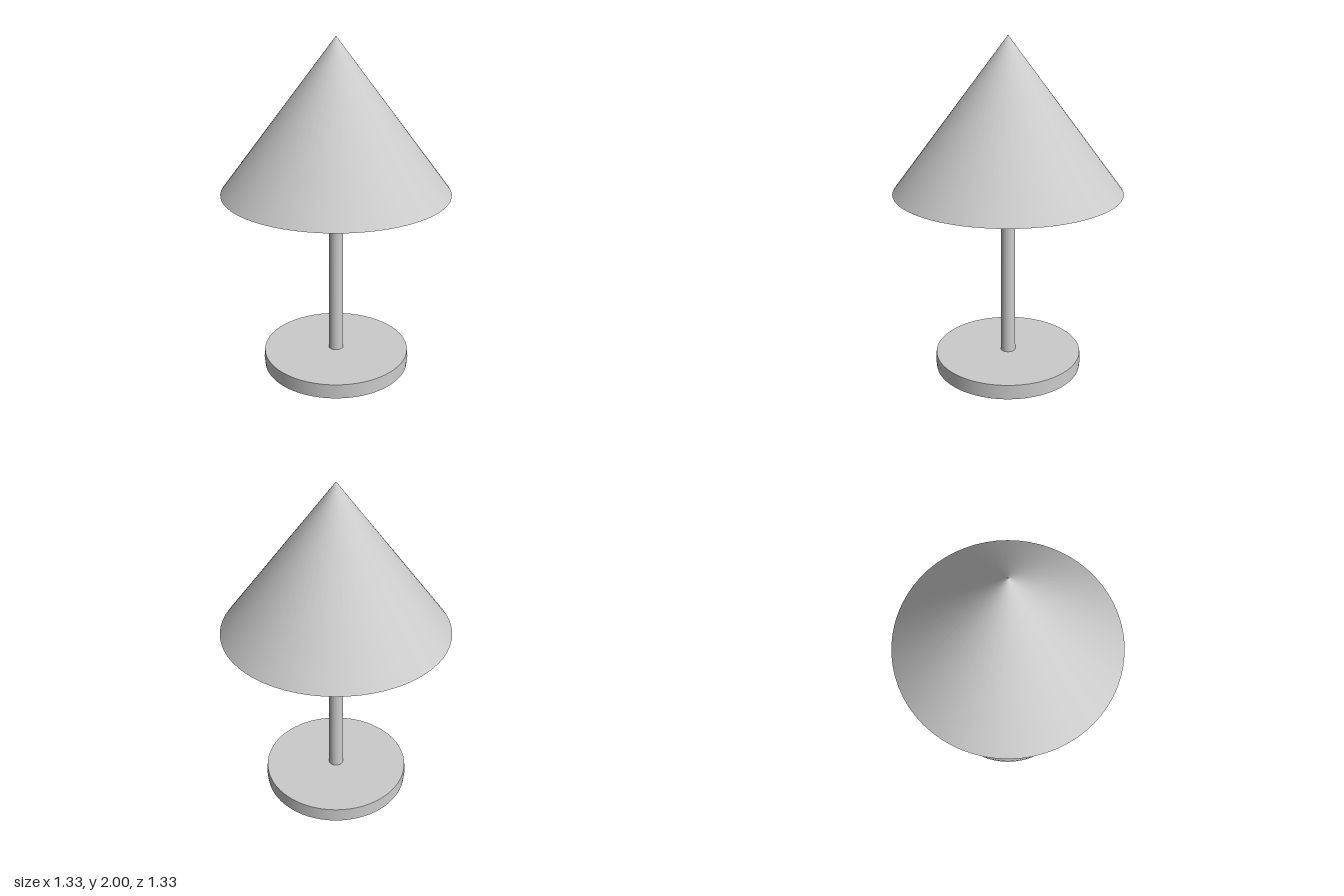
import * as THREE from 'three';

const SIDES = 64;

export function createModel() {
  const model = new THREE.Group();
  const material = new THREE.MeshStandardMaterial({ color: 0xcccccc });

  // Round part standing between two heights
  function addRound(name, topRadius, bottomRadius, bottom, top, rings = 1) {
    const geometry = new THREE.CylinderGeometry(topRadius, bottomRadius, top - bottom, SIDES, rings);
    const mesh = new THREE.Mesh(geometry, material);
    mesh.name = name;
    mesh.position.y = (bottom + top) / 2;
    model.add(mesh);
    return mesh;
  }

  // Disc foot with a very slightly bulging rim
  const base = addRound('base', 0.44, 0.44, 0, 0.09, 2);
  const p = base.geometry.attributes.position;
  for (let i = 0; i < p.count; i++) {
    if (Math.abs(p.getY(i)) < 0.001) {
      p.setX(i, p.getX(i) * 1.01);
      p.setZ(i, p.getZ(i) * 1.01);
    }
  }

  // Gently tapered post
  addRound('stem', 0.04, 0.045, 0.09, 1.115);

  // Closed conical shade
  addRound('shade', 0, 0.665, 1.115, 2);

  return model;
}
